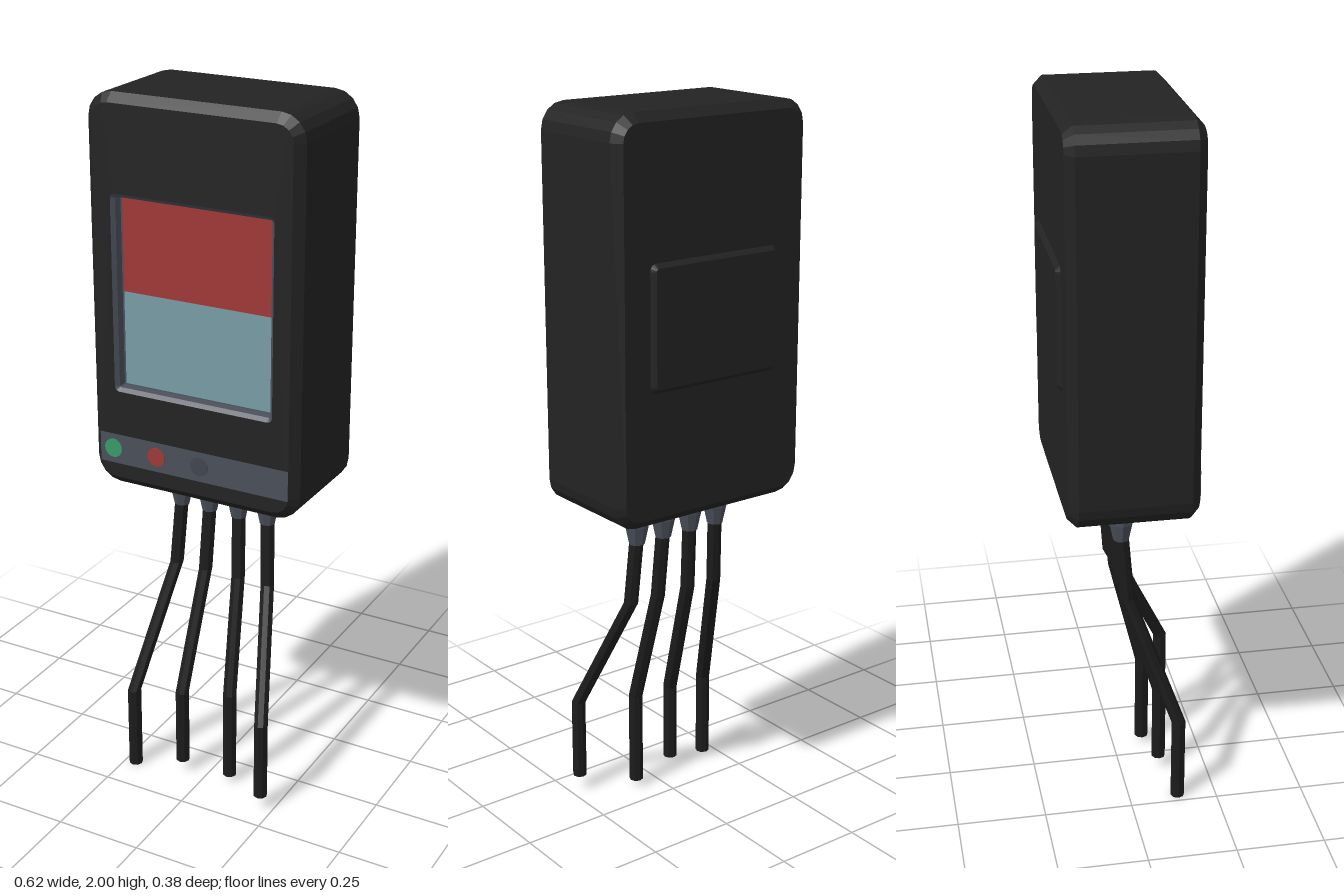
import * as THREE from 'three';
import { mergeGeometries } from 'three/addons/utils/BufferGeometryUtils.js';

const mat = (name, color, flatShading = true) => {
  const m = new THREE.MeshStandardMaterial({ color, flatShading });
  m.name = name;
  return m;
};

// Counter-clockwise rounded rectangle as points
function roundedRect(x0, x1, y0, y1, r, inset = 0, seg = 4) {
  const pts = [], k = Math.max(r - inset, 0.002);
  const xa = x0 + inset + k, xb = x1 - inset - k, ya = y0 + inset + k, yb = y1 - inset - k;
  [[xb, ya, -0.5], [xb, yb, 0], [xa, yb, 0.5], [xa, ya, 1]].forEach(([cx, cy, a]) => {
    for (let i = 0; i <= seg; i++) {
      const t = Math.PI * (a + 0.5 * i / seg);
      pts.push(new THREE.Vector2(cx + k * Math.cos(t), cy + k * Math.sin(t)));
    }
  });
  return pts;
}

// Skin joining rounded rectangles; each ring is [inset, z]
function loft(rect, rings) {
  const pos = [];
  const loops = rings.map(([inset, z]) => roundedRect(...rect, inset).map(p => [p.x, p.y, z]));
  for (let j = 0; j < loops.length - 1; j++) {
    const a = loops[j], b = loops[j + 1], n = a.length;
    for (let i = 0; i < n; i++) {
      const k = (i + 1) % n;
      pos.push(...a[i], ...a[k], ...b[k], ...a[i], ...b[k], ...b[i]);
    }
  }
  const g = new THREE.BufferGeometry();
  g.setAttribute('position', new THREE.Float32BufferAttribute(pos, 3));
  g.computeVertexNormals();
  return g;
}

// Flat face with an optional hole
function face(points, z, hole, back = false) {
  const s = new THREE.Shape(points);
  if (hole) s.holes.push(new THREE.Path(hole));
  const g = new THREE.ShapeGeometry(s).toNonIndexed();
  g.deleteAttribute('uv');
  if (back) g.rotateY(Math.PI);
  return g.translate(0, 0, z);
}

export function createModel() {
  const root = new THREE.Group();
  root.name = 'handheldTester';
  const black = mat('casingBlack', 0x232323);
  const cableBlack = mat('cableBlack', 0x1c1c1c);
  const grey = mat('slateGrey', 0x4a4f5a);
  const red = mat('red', 0xa03838);
  const blue = mat('paleBlue', 0x789ca4);
  const green = mat('green', 0x389a68);
  const dark = mat('unlitGrey', 0x42464f);

  const add = (name, geometry, material, parent = root) => {
    const m = new THREE.Mesh(geometry, material);
    m.name = name;
    parent.add(m);
    return m;
  };

  // Casing with chamfered rims and a window opening
  const body = [-0.31, 0.31, 0.92, 2, 0.07];
  const opening = [-0.237, 0.237, 1.197, 1.743, 0.015];
  const front = 0.172, rear = -0.178, chamfer = 0.024;
  add('casing', mergeGeometries([
    loft(body, [[chamfer, rear], [0, rear + chamfer], [0, front - chamfer], [chamfer, front]]),
    face(roundedRect(...body, chamfer), front, roundedRect(...opening)),
    face(roundedRect(...body, chamfer), rear, null, true),
  ]), black);

  // Raised plate on the back
  const plate = [-0.207, 0.207, 1.285, 1.625, 0.02];
  add('backPlate', mergeGeometries([
    loft(plate, [[0.012, -0.19], [0, rear]]),
    face(roundedRect(...plate, 0.012), -0.19, null, true),
  ]), black);

  // Sunken screen surround and two-colour display
  add('screenSurround', loft(opening, [[0, front], [0.01, 0.162], [0.012, 0.14], [0.03, 0.138]]), grey);
  const panel = (name, y0, y1, m) =>
    add(name, new THREE.PlaneGeometry(0.44, y1 - y0), m).position.set(0, (y0 + y1) / 2, 0.14);
  panel('screenUpper', 1.472, 1.73, red);
  panel('screenLower', 1.212, 1.472, blue);

  // Indicator strip with three lamps
  add('indicatorStrip', new THREE.BoxGeometry(0.572, 0.085, 0.003), grey).position.set(0, 1.028, front);
  [[-0.245, green, 'greenLamp'], [-0.11, red, 'redLamp'], [0.022, dark, 'unlitLamp']].forEach(([x, m, name]) => {
    add(name, new THREE.CylinderGeometry(0.027, 0.027, 0.005, 16).rotateX(Math.PI / 2), m)
      .position.set(x, 1.029, front + 0.001);
  });

  // Four leads, each with a tapered plug; path points are [x, y, z]
  const leads = [
    [[-0.138, 0.83, -0.012], [-0.148, 0.63, 0.004], [-0.218, 0.25, 0.14], [-0.218, 0, 0.14]],
    [[-0.048, 0.83, -0.012], [-0.054, 0.63, 0.004], [-0.073, 0.27, 0.112], [-0.073, 0.04, 0.112]],
    [[0.044, 0.83, -0.012], [0.051, 0.63, 0.004], [0.07, 0.29, 0.088], [0.07, 0.02, 0.088]],
    [[0.134, 0.83, -0.012], [0.144, 0.63, 0.004], [0.214, 0.28, 0.171], [0.214, 0.045, 0.171]],
  ];
  const plugProfile = [[0, 0.81], [0.022, 0.81], [0.033, 0.862], [0.033, 0.925]]
    .map(([x, y]) => new THREE.Vector2(x, y));
  leads.forEach((path, i) => {
    const lead = new THREE.Group();
    lead.name = 'lead' + (i + 1);
    root.add(lead);
    add('plug', new THREE.LatheGeometry(plugProfile, 8), grey, lead).position.set(path[0][0], 0, path[0][2]);
    // Slide each row of a cylinder onto its path point
    const g = new THREE.CylinderGeometry(0.02, 0.02, 1, 8, 3);
    const p = g.attributes.position;
    for (let v = 0; v < p.count; v++) {
      const [x, y, z] = path[Math.round((0.5 - p.getY(v)) * 3)];
      p.setXYZ(v, p.getX(v) + x, y, p.getZ(v) + z);
    }
    g.computeVertexNormals();
    add('cable', g, cableBlack, lead);
  });
  return root;
}
